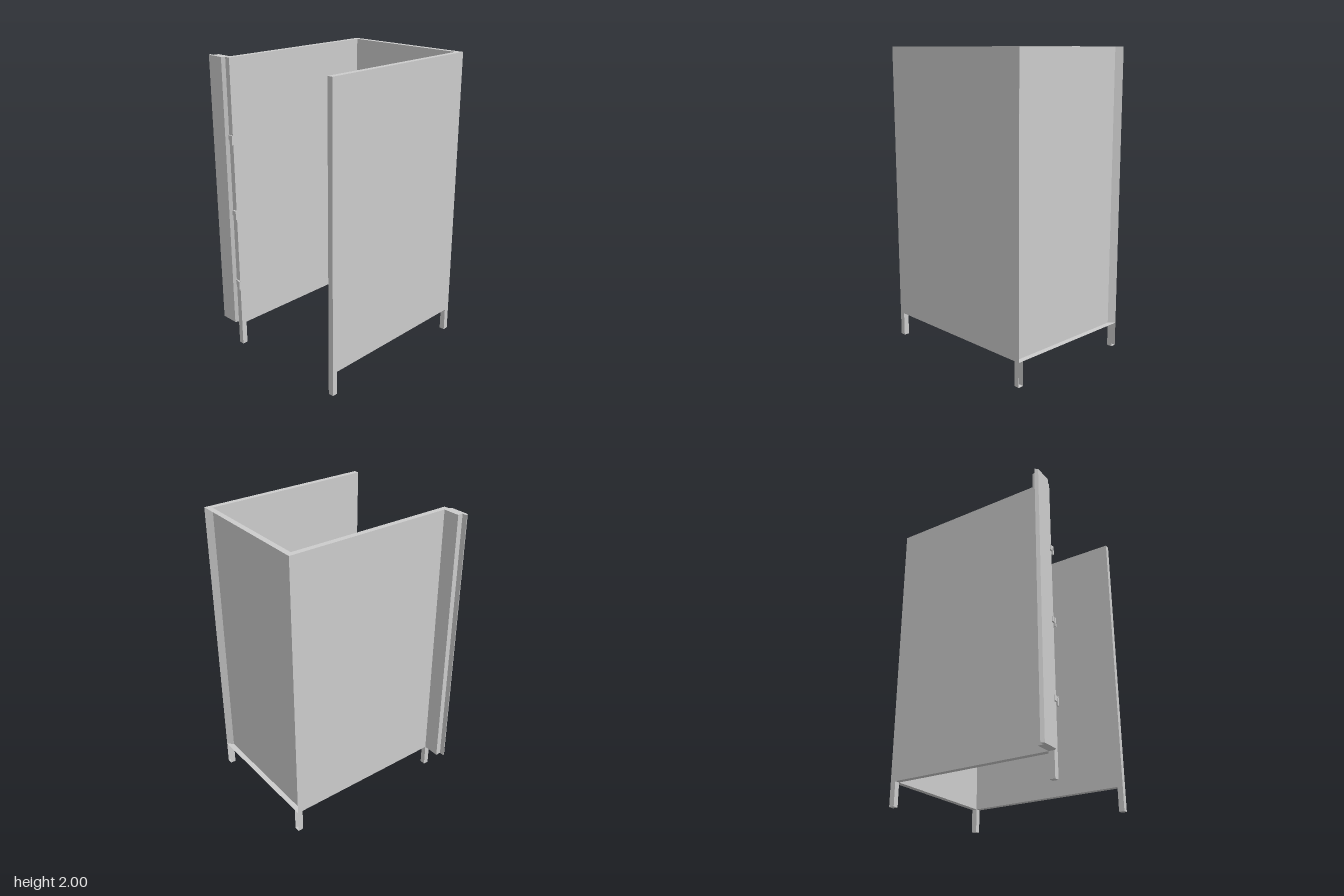
import * as THREE from 'three';

const LOW = 0.16, TOP = 2, T = 0.037;          // panel bottom, top, thickness
const XL = -0.583, XR = 0.601, ZF = 0.537, ZB = -0.387;

export function createModel() {
  const model = new THREE.Group();
  const mat = new THREE.MeshStandardMaterial({ color: 0xcccccc, flatShading: true, side: THREE.DoubleSide });

  const add = (name, geo, x = 0, y = 0, z = 0) => {
    const m = new THREE.Mesh(geo, mat);
    m.name = name;
    m.position.set(x, y, z);
    model.add(m);
    return m;
  };
  const planShape = pts => new THREE.Shape(pts.map(([x, z]) => new THREE.Vector2(x, -z)));
  // upright prism from a plan outline of [x, z] points
  const prism = (name, pts) => {
    const g = new THREE.ExtrudeGeometry(planShape(pts), { depth: TOP - LOW, bevelEnabled: false });
    add(name, g.rotateX(-Math.PI / 2), 0, LOW, 0);
  };
  const box = (name, x0, x1, y0, y1, z0, z1) => add(name,
    new THREE.BoxGeometry(x1 - x0, y1 - y0, z1 - z0), (x0 + x1) / 2, (y0 + y1) / 2, (z0 + z1) / 2);

  // front and back panels, mitred where they meet the side panel
  prism('frontPanel', [[XL, ZF], [XR, ZF], [XR - T, ZF - T], [XL, ZF - T]]);
  prism('backPanel', [[XL, ZB], [XL, ZB + T], [XR - T, ZB + T], [XR, ZB]]);

  // side panel: inner skin with top and bottom rims, open on the outside
  const depth = ZF - ZB - 2 * T;
  add('sidePanelSkin', new THREE.PlaneGeometry(depth, TOP - LOW).rotateY(Math.PI / 2),
    XR - T, (TOP + LOW) / 2, (ZF + ZB) / 2);
  const rim = [[XR, ZF], [XR, ZB], [XR - T, ZB + T], [XR - T, ZF - T]];
  for (const [name, y, turn] of [['sidePanelTopRim', TOP, -1], ['sidePanelBottomRim', LOW, 1]]) {
    const s = turn < 0 ? rim : rim.map(([x, z]) => [x, -z]);
    add(name, new THREE.ShapeGeometry(planShape(s)).rotateX(turn * Math.PI / 2), 0, y, 0);
  }

  // door-side post with a slanted lip
  prism('doorPost', [[-0.603, -0.526], [-0.603, -0.403], [XL, ZB], [-0.546, ZB],
    [-0.546, -0.503], [XL, -0.503], [XL, -0.54]]);

  // legs: the two under the side panel are open on the outside
  for (const z of [ZB, ZF - T]) {
    box('leg', XL, XL + T, 0, LOW, z, z + T);
    const leg = box('cornerLeg', XR - T, XR, 0, LOW, z, z + T);
    leg.geometry.setIndex(Array.from(leg.geometry.index.array).slice(6));
  }

  // hinge hooks on the free edge of the back panel
  for (const y of [0.46, 0.97, 1.48]) {
    box('hingeArm', -0.594, XL, y - 0.005, y + 0.03, -0.38, -0.352);
    box('hingeLip', -0.597, -0.587, y - 0.03, y + 0.03, -0.355, -0.343);
  }
  return model;
}
